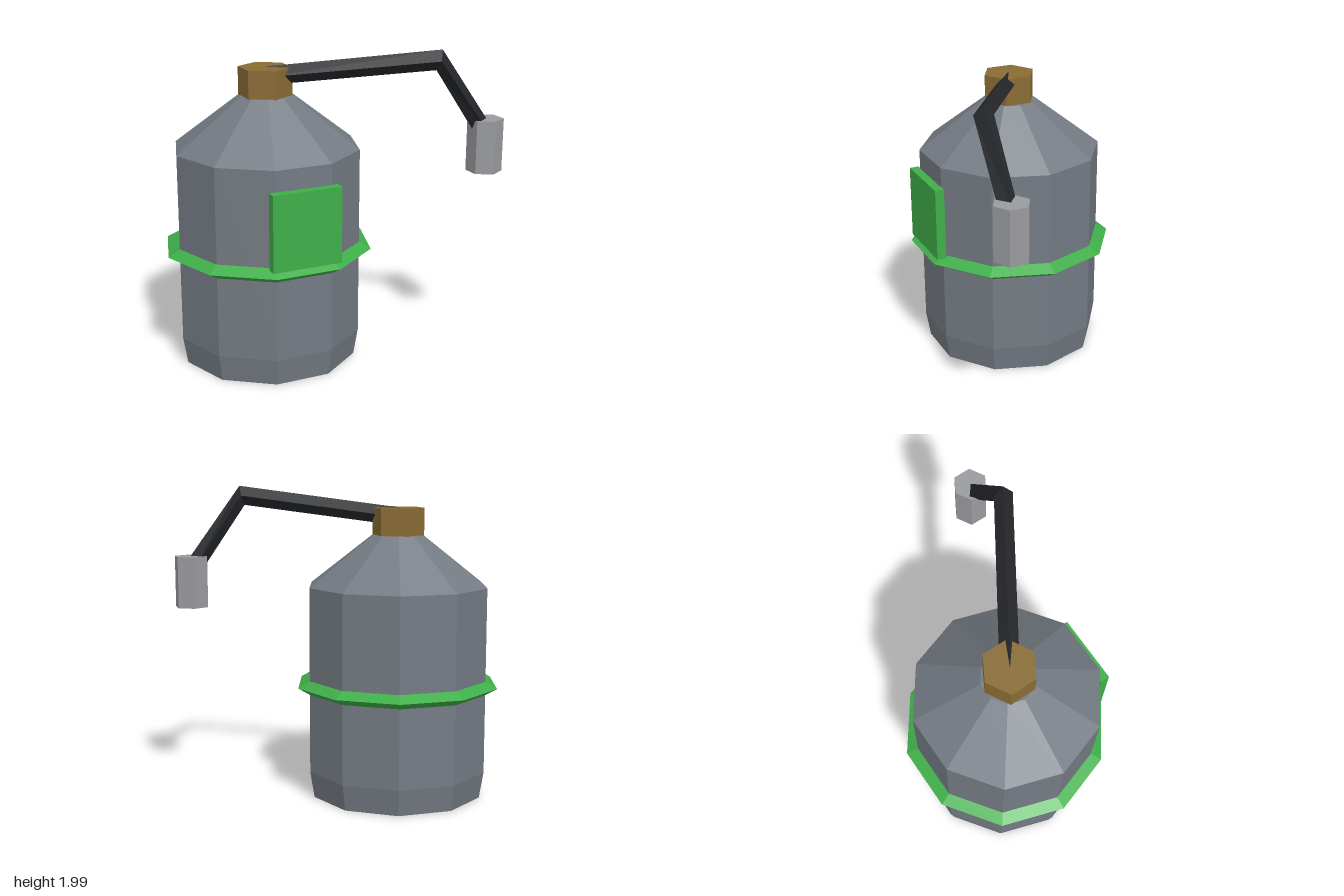
import * as THREE from 'three';

const AXIS_X = -0.333, AXIS_Z = -0.022;

function part(name, geometry, color, x = 0, y = 0, z = 0) {
  const material = new THREE.MeshStandardMaterial({ color });
  material.flatShading = true;
  const mesh = new THREE.Mesh(geometry, material);
  mesh.name = name;
  mesh.position.set(x, y, z);
  return mesh;
}

// Ten-sided turned shape with a corner pointing along +x
function turned(profile) {
  const points = profile.map(([r, y]) => new THREE.Vector2(r, y));
  return new THREE.LatheGeometry(points, 10, Math.PI / 2);
}

// Diamond-section bar through stations of centre, up offset and side offset
function diamondBar(stations) {
  const rings = stations.map(({ at, up, side }) => {
    const c = new THREE.Vector3(...at);
    const u = new THREE.Vector3(...up);
    const s = new THREE.Vector3(...side);
    return [c.clone().add(u), c.clone().add(s), c.clone().sub(u), c.clone().sub(s)];
  });
  const corners = [];
  for (let i = 0; i < rings.length - 1; i++) {
    for (let j = 0; j < 4; j++) {
      const k = (j + 1) % 4;
      const a = rings[i][j], b = rings[i][k], c = rings[i + 1][k], d = rings[i + 1][j];
      corners.push(a, b, d, b, c, d);
    }
  }
  // Closed ends
  const [s0, s1, s2, s3] = rings[0];
  const [e0, e1, e2, e3] = rings[rings.length - 1];
  corners.push(s0, s2, s1, s0, s3, s2, e0, e1, e2, e0, e2, e3);
  const geometry = new THREE.BufferGeometry().setFromPoints(corners);
  geometry.computeVertexNormals();
  return geometry;
}

export function createModel() {
  const model = new THREE.Group();
  model.name = 'canister';

  // Tank with tapered foot and conical shoulder
  const tank = turned([[0, 0], [0.56, 0], [0.588, 0.17], [0.588, 1.365], [0.168, 1.688], [0, 1.688]]);
  model.add(part('tank', tank, 0x747b83, AXIS_X, 0, AXIS_Z));

  // Pointed band around the middle
  const band = turned([[0.588, 0.68], [0.664, 0.725], [0.588, 0.768]]);
  model.add(part('band', band, 0x3fae49, AXIS_X, 0, AXIS_Z));

  // Raised plate on the front
  model.add(part('frontPlate', new THREE.BoxGeometry(0.445, 0.475, 0.06), 0x3fae49, AXIS_X, 0.998, 0.564));

  // Hexagonal cap
  model.add(part('cap', new THREE.CylinderGeometry(0.168, 0.168, 0.177, 6), 0x8a6c35, AXIS_X - 0.003, 1.773, AXIS_Z));

  // Bent arm from the cap, mitred at the elbow
  const arm = diamondBar([
    { at: [-0.335, 1.805, -0.018], up: [-0.006, 0.057, -0.004], side: [-0.031, 0, 0.049] },
    { at: [0.555, 1.927, 0.548], up: [0.015, 0.0625, 0.008], side: [-0.018, 0, 0.055] },
    { at: [0.902, 1.44, 0.548], up: [0.047, 0.035, 0], side: [0, 0, 0.057] },
  ]);
  model.add(part('arm', arm, 0x25272b));

  // Hexagonal grip hanging from the arm
  model.add(part('grip', new THREE.CylinderGeometry(0.112, 0.112, 0.335, 6), 0x9a9b9f, 0.903, 1.368, 0.545));

  return model;
}
